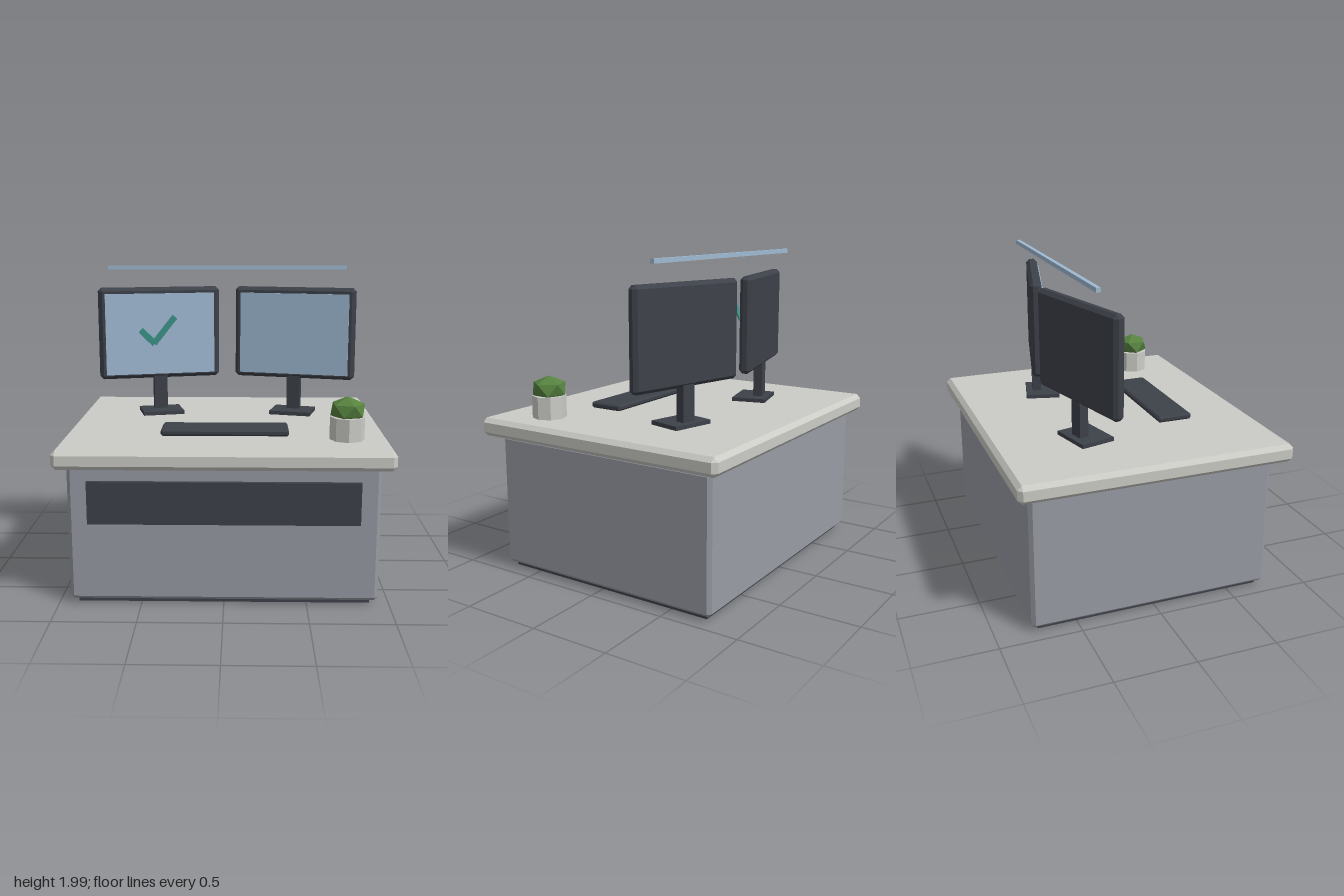
import * as THREE from 'three';
import { ConvexGeometry } from 'three/addons/geometries/ConvexGeometry.js';

const mat = (name, color) => {
  const m = new THREE.MeshStandardMaterial({ color });
  m.name = name;
  return m;
};

// Box with a single flat chamfer on every edge
function chamferBox(w, h, d, c) {
  const points = [];
  for (const x of [-1, 1]) for (const y of [-1, 1]) for (const z of [-1, 1]) {
    for (const [a, b, e] of [[0, c, c], [c, 0, c], [c, c, 0]]) {
      points.push(new THREE.Vector3(x * (w / 2 - a), y * (h / 2 - b), z * (d / 2 - e)));
    }
  }
  return new ConvexGeometry(points);
}

// Squashed faceted ball with one corner straight up
function facetedBall(ringRadius, height) {
  const points = [new THREE.Vector3(0, height, 0), new THREE.Vector3(0, -height, 0)];
  for (let i = 0; i < 5; i++) {
    const a = (i / 5) * Math.PI * 2;
    const x = Math.cos(a) * ringRadius, z = Math.sin(a) * ringRadius;
    points.push(new THREE.Vector3(x, height * 0.447, z), new THREE.Vector3(-x, -height * 0.447, -z));
  }
  return new ConvexGeometry(points);
}

export function createModel() {
  const worktop = mat('warm light grey', 0xcbcbc6);
  const cabinet = mat('cool grey', 0x989ba4);
  const dark = mat('charcoal', 0x3d4149);
  const blue = mat('pale blue', 0x9fbad2);
  const teal = mat('teal', 0x3f9c8f);
  const green = mat('leaf green', 0x56823f);

  const model = new THREE.Group();
  model.name = 'desk';

  const add = (parent, name, geometry, material, x, y, z) => {
    const mesh = new THREE.Mesh(geometry, material);
    mesh.name = name;
    mesh.position.set(x, y, z);
    parent.add(mesh);
    return mesh;
  };
  const box = (w, h, d) => new THREE.BoxGeometry(w, h, d);

  // Desk
  add(model, 'plinth', box(1.77, 0.04, 1.44), dark, 0, 0.02, -0.02);
  add(model, 'cabinet', chamferBox(1.86, 0.84, 1.53, 0.022), cabinet, 0, 0.448, -0.02);
  add(model, 'frontPanel', box(1.62, 0.26, 0.04), dark, 0, 0.645, 0.752);
  add(model, 'worktop', chamferBox(2, 0.115, 1.715, 0.027), worktop, 0, 0.9225, 0);

  // Keyboard
  add(model, 'keyboard', chamferBox(0.79, 0.04, 0.23, 0.011), dark, 0, 1.0, 0.345);

  // Two monitors, turned inwards
  for (const side of [-1, 1]) {
    const monitor = new THREE.Group();
    monitor.name = side > 0 ? 'leftMonitor' : 'rightMonitor';
    monitor.position.set(side * 0.465, 0, -0.322);
    monitor.rotation.y = -side * 0.25;
    add(monitor, 'foot', box(0.28, 0.025, 0.225), dark, 0, 0.9925, 0.04);
    add(monitor, 'post', box(0.09, 0.25, 0.06), dark, 0, 1.125, 0);
    add(monitor, 'frame', chamferBox(0.83, 0.62, 0.075, 0.022), dark, 0, 1.53, 0);
    add(monitor, 'screen', box(0.75, 0.55, 0.009), blue, 0, 1.525, 0.041);
    model.add(monitor);
  }

  // Tick sign floating before one screen
  const tick = new THREE.Group();
  tick.name = 'tick';
  tick.position.set(-0.465, 1.56, -0.182);
  tick.rotation.y = -0.06;
  add(tick, 'shortArm', box(0.13, 0.042, 0.012), teal, -0.068, -0.045, 0).rotation.z = -0.77;
  add(tick, 'longArm', box(0.232, 0.04, 0.012), teal, 0.046, 0.002, 0).rotation.z = 0.9;
  model.add(tick);

  // Light bar above the monitors
  add(model, 'lightBar', box(1.62, 0.027, 0.027), blue, 0, 1.972, -0.328);

  // Potted plant
  const pot = new THREE.CylinderGeometry(0.106, 0.106, 0.14, 8).toNonIndexed();
  pot.computeVertexNormals();
  add(model, 'pot', pot, worktop, 0.743, 1.05, 0.512);
  add(model, 'plant', facetedBall(0.104, 0.08), green, 0.743, 1.163, 0.51);

  return model;
}
